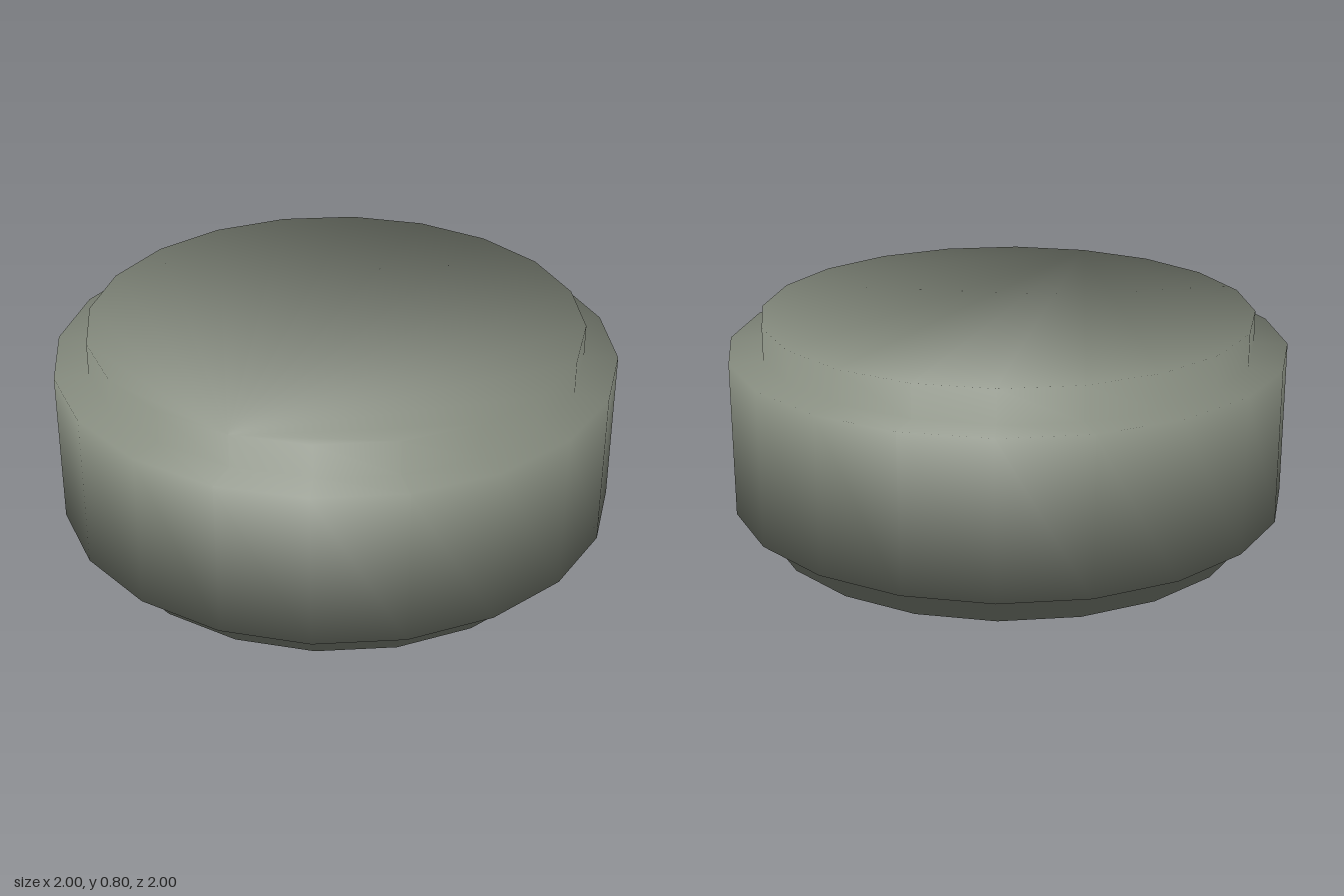
import * as THREE from 'three';

const SIDES = 20;

// Half-profile from the bottom rim to the top rim: [radius, height, upward lean of the soft normal]
const PROFILE = [
  [0.88, 0, -0.91], [0.88, 0.12, -1.11], [1, 0.12, -0.91],
  [1, 0.68, 0.91], [0.88, 0.68, 1.11], [0.88, 0.8, 0.91],
];

function steppedDiscGeometry() {
  const points = PROFILE.map(([r, y]) => new THREE.Vector2(r, y));
  const geometry = new THREE.LatheGeometry(points, SIDES);
  const { position, normal } = geometry.attributes;
  const n = PROFILE.length;

  // Soft shading: each corner normal leans about halfway between wall and flat face
  const v = new THREE.Vector3();
  for (let i = 0; i < position.count; i++) {
    v.fromBufferAttribute(position, i).setY(0).normalize();
    v.setY(PROFILE[i % n][2]).normalize();
    normal.setXYZ(i, v.x, v.y, v.z);
  }

  // Close the bottom and top with flat caps that share the rim corners
  const index = Array.from(geometry.index.array);
  for (let i = 1; i < SIDES - 1; i++) {
    index.push(0, (i + 1) * n, i * n);
    index.push(n - 1, i * n + n - 1, (i + 1) * n + n - 1);
  }
  geometry.setIndex(index);
  return geometry;
}

export function createModel() {
  const group = new THREE.Group();
  group.name = 'steppedDisc';
  const material = new THREE.MeshStandardMaterial({ color: 0x878d80 });

  // Wide middle band with a narrower step above and below
  const disc = new THREE.Mesh(steppedDiscGeometry(), material);
  disc.name = 'discBody';
  group.add(disc);
  return group;
}
